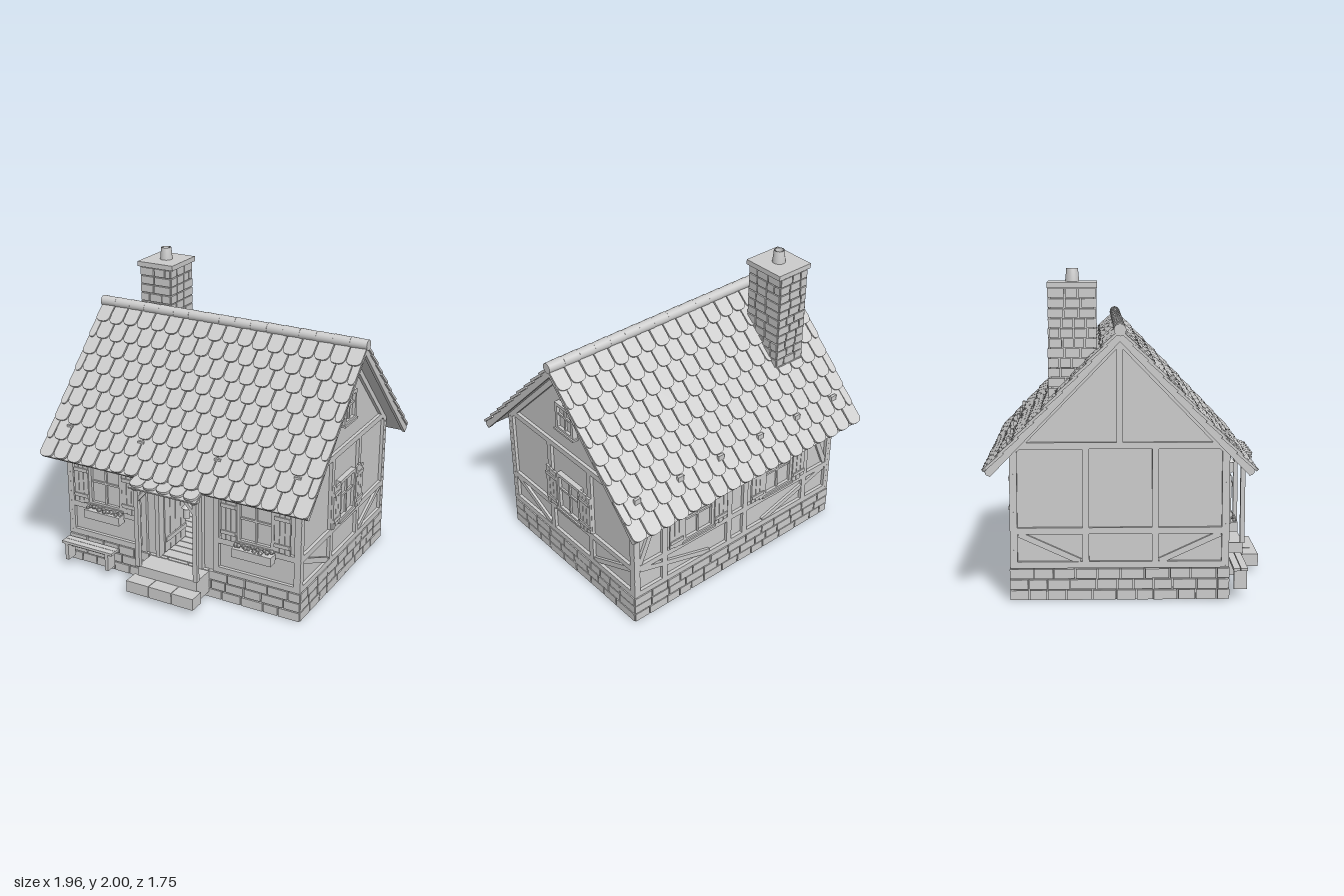
import * as THREE from 'three';
import { mergeGeometries } from 'three/addons/utils/BufferGeometryUtils.js';

export function createModel() {
  const model = new THREE.Group();
  model.name = 'cottage';
  const stone = new THREE.MeshStandardMaterial({ color: 0xcccccc, side: THREE.DoubleSide });
  stone.name = 'plain grey';

  // Collect geometry by part name; each part becomes one mesh
  const parts = {};
  const put = (name, geo, ...matrices) => {
    const g = geo.index ? geo.toNonIndexed() : geo.clone();
    g.deleteAttribute('uv');
    for (const m of matrices) g.applyMatrix4(m);
    (parts[name] ??= []).push(g);
  };
  const T = (x, y, z) => new THREE.Matrix4().makeTranslation(x, y, z);
  const RX = a => new THREE.Matrix4().makeRotationX(a);
  const RY = a => new THREE.Matrix4().makeRotationY(a);
  const RZ = a => new THREE.Matrix4().makeRotationZ(a);
  const I = new THREE.Matrix4();
  let seed = 7;
  const rnd = (a, b) => {
    seed = (seed * 16807) % 2147483647;
    return a + (b - a) * seed / 2147483647;
  };
  const box = (name, w, h, d, x, y, z, M = I) => put(name, new THREE.BoxGeometry(w, h, d), T(x, y, z), M);
  const cyl = (name, r0, r1, h, x, y, z, M = I) => put(name, new THREE.CylinderGeometry(r0, r1, h, 14), T(x, y, z), M);
  // Timber between two points of a wall plane
  const beam = (M, u0, v0, u1, v1, w = 0.04, d = 0.022, name = 'timberFrame') => {
    const len = Math.hypot(u1 - u0, v1 - v0);
    put(name, new THREE.BoxGeometry(len, w, d), RZ(Math.atan2(v1 - v0, u1 - u0)),
      T((u0 + u1) / 2, (v0 + v1) / 2, d / 2), M);
  };

  // Wall frames: local x along the wall, y up, z outward
  const ZC = -0.055, HX = 0.845, HZ = 0.64;
  const wall = (a, x, z) => T(x, 0, z).multiply(RY(a));
  const front = wall(0, 0, ZC + HZ), back = wall(Math.PI, 0, ZC - HZ);
  const right = wall(-Math.PI / 2, -HX, ZC), left = wall(Math.PI / 2, HX, ZC);

  // Walls
  const poly = pts => new THREE.Shape(pts.map(p => new THREE.Vector2(...p)));
  const slab = (name, shape, d, M) =>
    put(name, new THREE.ExtrudeGeometry(shape, { depth: d, bevelEnabled: false }), T(0, 0, -d), M);
  const frontShape = poly([[-HX, 0.19], [HX, 0.19], [HX, 0.93], [-HX, 0.93]]);
  frontShape.holes.push(new THREE.Path([[-0.15, 0.2], [-0.15, 0.75], [0.15, 0.75], [0.15, 0.2]].map(p => new THREE.Vector2(...p))));
  slab('frontWall', frontShape, 0.04, front);
  box('backWall', 2 * HX, 0.74, 0.04, 0, 0.56, -0.02, back);
  const gable = poly([[-HZ, 0.19], [HZ, 0.19], [HZ, 0.94], [0, 1.6], [-HZ, 0.94]]);
  slab('gableWall', gable, 0.04, left);
  slab('gableWall', gable, 0.04, right);

  // Brick foundation
  box('foundationCore', 1.7, 0.19, 1.29, 0, 0.095, ZC);
  const bricks = (name, M, half, y0, rows, h, len, depth) => {
    for (let r = 0; r < rows; r++) {
      let u = -half;
      while (u < half - 0.001) {
        let l = rnd(0.75, 1.25) * len;
        if (half - u - l < len * 0.5) l = half - u;
        box(name, l - 0.008, h - 0.007, depth + rnd(-0.003, 0.003), u + l / 2, y0 + (r + 0.5) * h, 0.008, M);
        u += l;
      }
    }
  };
  for (const [M, half] of [[front, 0.87], [back, 0.87], [left, 0.66], [right, 0.66]])
    bricks('foundationBricks', M, half, 0, 3, 0.066, 0.13, 0.035);

  // Timber framing shared by all walls, then per wall
  for (const [M, h] of [[front, 0.845], [back, 0.845], [left, 0.64], [right, 0.64]]) {
    for (const s of [-1, 1]) beam(M, s * h, 0.2, s * h, 0.95, 0.045);
    if (M !== front) {
      beam(M, -h, 0.43, h, 0.43);
      beam(M, -h, 0.22, h, 0.22);
      for (const s of [-1, 1]) beam(M, s * (h - 0.03), 0.41, s * 0.24, 0.24, 0.035, 0.018);
    }
  }
  for (const M of [left, right]) {
    beam(M, -HZ, 0.95, HZ, 0.95);
    beam(M, -0.205, 0.2, -0.205, 0.94);
    beam(M, 0.215, 0.2, 0.215, 0.97);
    beam(M, 0, M === left ? 1.32 : 0.95, 0, 1.58);
    for (const s of [-1, 1]) beam(M, s * 0.63, 0.93, 0, 1.58, 0.045);
  }
  beam(back, -0.84, 0.92, 0.84, 0.92);
  for (const u of [-0.62, -0.07, 0.07, 0.62]) beam(back, u, 0.2, u, 0.93);
  for (const s of [-1, 1]) {
    beam(back, s * 0.64, 0.88, s * 0.82, 0.45, 0.035, 0.018);
    beam(front, s * 0.27, 0.2, s * 0.27, 0.93);
    for (const v of [0.22, 0.43, 0.9]) beam(front, s * 0.27, v, s * 0.84, v);
  }

  // Windows with glazing bars, shutters and flower boxes
  const win = (M, u, v, w, h, shutters, flowers) => {
    box('windowPane', w, h, 0.008, u, v, 0.01, M);
    for (const s of [-1, 1]) {
      box('windowFrame', 0.022, h, 0.035, u + s * (w / 2 - 0.011), v, 0.017, M);
      box('windowFrame', w, 0.022, 0.035, u, v + s * (h / 2 - 0.011), 0.017, M);
      if (!shutters) continue;
      for (let i = 0; i < 3; i++)
        box('shutter', 0.034, h + rnd(-0.015, 0.015), 0.014, u + s * (w / 2 + 0.021 + i * 0.037), v, 0.032, M);
      for (const t of [-1, 1])
        box('shutterBar', 0.106, 0.025, 0.01, u + s * (w / 2 + 0.058), v + t * h * 0.32, 0.042, M);
    }
    box('windowBar', 0.014, h, 0.024, u, v, 0.014, M);
    box('windowBar', w, 0.014, 0.024, u, v + h * 0.08, 0.014, M);
    box('windowSill', w + 0.02, 0.014, 0.045, u, v - h / 2, 0.022, M);
    if (!flowers) return;
    box('flowerBox', 0.275, 0.06, 0.065, u, 0.41, 0.06, M);
    for (let i = 0; i < 12; i++)
      put('flowers', new THREE.IcosahedronGeometry(rnd(0.012, 0.018), 0),
        T(u - 0.12 + i * 0.022, rnd(0.445, 0.465), rnd(0.045, 0.08)), M);
  };
  for (const s of [-1, 1]) {
    win(front, s * 0.558, 0.605, 0.26, 0.29, true, true);
    win(back, s * 0.35, 0.605, 0.26, 0.29, true, false);
  }
  win(left, 0.005, 0.605, 0.24, 0.29, true, false);
  win(left, 0, 1.22, 0.18, 0.2, false, false);

  // Roof: two decks, overlapping rounded tiles and ridge caps
  const a = Math.atan2(0.83, 0.8), rowStep = 0.126, eave = 1.155;
  const tileShape = (w, l) => {
    const s = new THREE.Shape();
    s.moveTo(-w / 2, l);
    s.lineTo(-w / 2, 0.035);
    s.bezierCurveTo(-w / 2 + 0.004, 0.006, -w / 4, 0, 0, 0);
    s.bezierCurveTo(w / 4, 0, w / 2 - 0.004, 0.006, w / 2, 0.035);
    s.lineTo(w / 2, l);
    return s;
  };
  const tileGeo = (w, l) => new THREE.ExtrudeGeometry(tileShape(w, l), { depth: 0.016, bevelEnabled: false, curveSegments: 4 });
  const fullTile = tileGeo(0.101, 0.17), halfTile = tileGeo(0.05, 0.17), N = 18, pitch = 1.96 / N;
  for (const turn of [0, Math.PI]) {
    const slope = T(0, 1.63, ZC).multiply(RY(turn)).multiply(RX(a - Math.PI / 2));
    box('roofDeck', 1.93, eave - 0.01, 0.022, 0, -eave / 2, -0.011, slope);
    for (const s of [-1, 1]) box('bargeBoard', 0.02, eave - 0.02, 0.045, s * 0.955, -eave / 2, -0.012, slope);
    for (let r = 0; r < 9; r++) {
      const odd = r % 2, count = odd ? N + 1 : N;
      for (let i = 0; i < count; i++) {
        const end = odd && (i === 0 || i === N);
        let x = -0.98 + (i + (odd ? 0 : 0.5)) * pitch;
        if (end) x += (i ? -1 : 1) * pitch / 4;
        put('roofTiles', end ? halfTile : fullTile, RX(-0.08), RZ(rnd(-0.015, 0.015)),
          T(x, -eave + r * rowStep + rnd(-0.006, 0.006), 0.014), slope);
      }
    }
  }
  for (let i = 0; i < 17; i++)
    put('ridgeCaps', new THREE.CylinderGeometry(0.037, 0.034, 0.113, 16), RZ(Math.PI / 2),
      T(-0.923 + i * 0.1154, 1.65, ZC));
  // Post tips showing through the tiles
  for (const x of [-0.83, -0.28, 0.28, 0.83]) box('postTips', 0.045, 0.06, 0.02, x, 0.96, 0.595);
  for (const x of [-0.84, -0.5, -0.17, 0.17, 0.5, 0.84]) box('postTips', 0.045, 0.06, 0.02, x, 0.97, -0.72);

  // Chimney
  const cx = -0.645, cz = -0.337;
  box('chimneyCore', 0.21, 0.8, 0.26, cx, 1.48, cz);
  for (let k = 0; k < 4; k++) {
    const side = k % 2 === 1;
    const M = T(cx, 0, cz).multiply(RY(k * Math.PI / 2)).multiply(T(0, 0, side ? 0.1 : 0.125));
    bricks('chimneyBricks', M, side ? 0.143 : 0.118, 1.11, 13, 0.0595, 0.085, 0.026);
  }
  box('chimneyCap', 0.275, 0.034, 0.3, cx, 1.902, cz);
  const pot = [[0.043, 1.915], [0.035, 2], [0.025, 2], [0.025, 1.93]].map(p => new THREE.Vector2(...p));
  put('chimneyPot', new THREE.LatheGeometry(pot, 20), T(cx, 0, cz));

  // Doorway, open door and room contents
  for (const s of [-1, 1]) box('doorFrame', 0.03, 0.57, 0.06, s * 0.16, 0.48, 0.59);
  box('doorFrame', 0.35, 0.03, 0.06, 0, 0.755, 0.59);
  for (let i = 0; i < 4; i++) box('door', 0.018, 0.53, 0.062, -0.145, 0.475, 0.53 - i * 0.066);
  for (const y of [0.3, 0.65]) box('doorBar', 0.012, 0.03, 0.25, -0.132, y, 0.43);
  for (let i = 0; i < 18; i++) box('floorBoards', 1.6, 0.012, 0.062, 0, 0.194, 0.53 - i * 0.068);
  for (const y of [0.53, 0.65]) {
    box('shelf', 0.3, 0.012, 0.09, 0, y, -0.6);
    for (let i = 0; i < 6; i++) {
      const h = rnd(0.03, 0.055);
      cyl('jars', 0.013, 0.016, h, -0.11 + i * 0.044, y + 0.006 + h / 2, -0.59);
    }
  }
  cyl('broom', 0.006, 0.006, 0.25, 0.11, 0.4, 0.5);
  cyl('broom', 0.012, 0.025, 0.08, 0.11, 0.25, 0.5);

  // Porch with tiled canopy, braces and lantern
  for (const s of [-1, 1]) {
    box('porchPost', 0.03, 0.58, 0.03, s * 0.215, 0.48, 0.765);
    beam(T(0, 0, 0.755), s * 0.215, 0.66, s * 0.14, 0.745, 0.022, 0.02, 'porchBrace');
    put('porchRafter', new THREE.BoxGeometry(0.025, 0.025, 0.22), RX(0.33), T(s * 0.215, 0.79, 0.7));
  }
  box('porchBeam', 0.47, 0.028, 0.03, 0, 0.757, 0.765);
  const canopy = T(0, 0.77, 0.82).multiply(RX(0.33 - Math.PI / 2));
  box('canopyDeck', 0.49, 0.23, 0.012, 0, 0.115, -0.006, canopy);
  const smallTile = tileGeo(0.093, 0.13);
  for (let r = 0; r < 2; r++)
    for (let i = 0; i < 5; i++)
      put('canopyTiles', smallTile, RX(-0.08), T(-0.196 + i * 0.098, r * 0.1, 0.008), canopy);
  cyl('lantern', 0.022, 0.022, 0.07, 0.125, 0.635, 0.72);
  cyl('lantern', 0.006, 0.032, 0.03, 0.125, 0.685, 0.72);
  cyl('lantern', 0.003, 0.003, 0.08, 0.125, 0.73, 0.72);

  // Steps
  box('landing', 0.44, 0.15, 0.17, 0, 0.115, 0.685);
  for (const [x, w] of [[-0.165, 0.166], [0.005, 0.166], [0.17, 0.156]])
    box('lowerStep', w, 0.08, 0.105, x, 0.08, 0.815);

  // Bench
  for (const z of [0.66, 0.705]) box('benchSeat', 0.4, 0.018, 0.042, -0.655, 0.18, z);
  for (const x of [-0.82, -0.5]) box('benchLeg', 0.025, 0.12, 0.08, x, 0.112, 0.683);
  box('benchRail', 0.32, 0.02, 0.015, -0.66, 0.155, 0.683);

  for (const [name, geos] of Object.entries(parts)) {
    const mesh = new THREE.Mesh(mergeGeometries(geos), stone);
    mesh.name = name;
    model.add(mesh);
  }
  return model;
}
